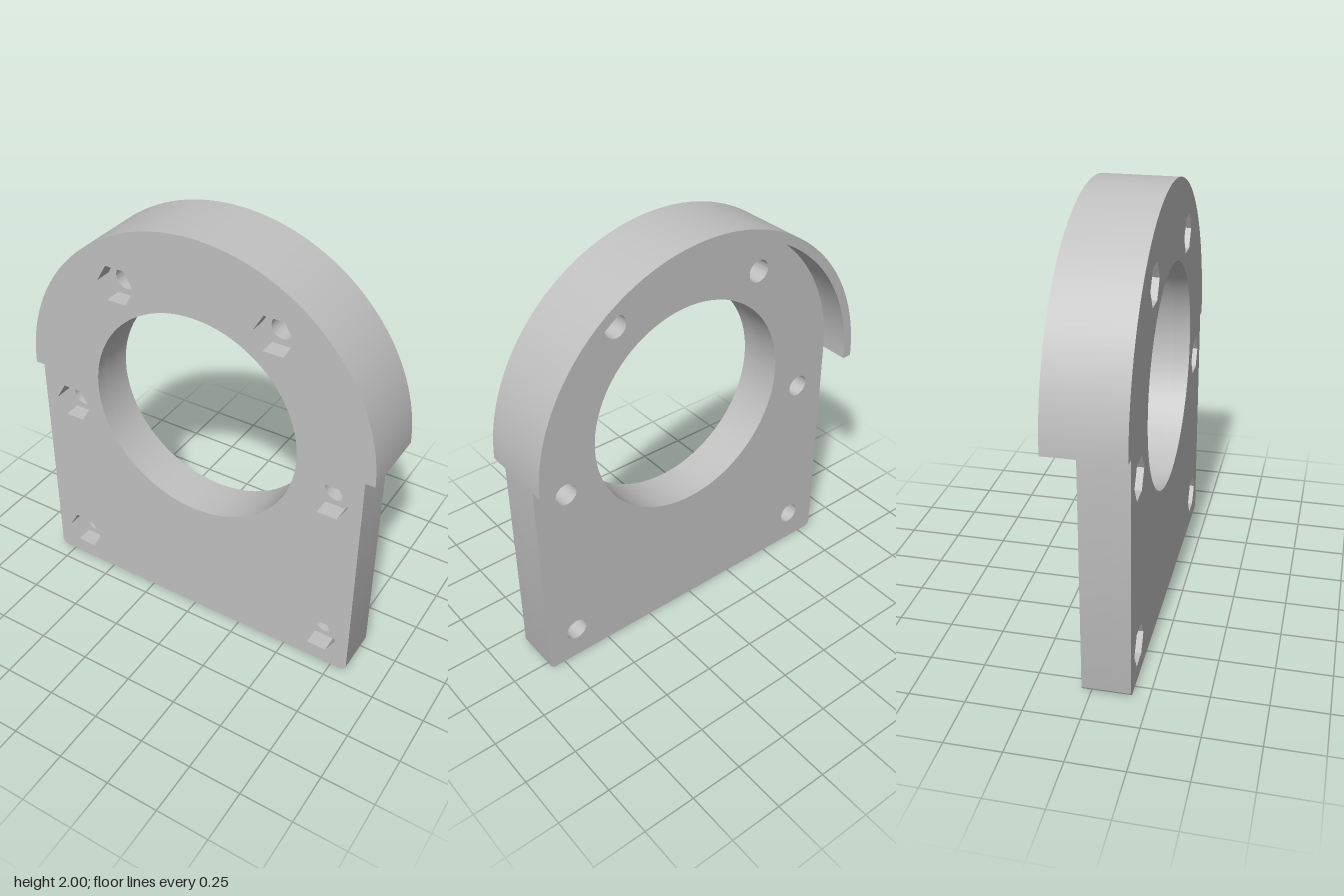
import * as THREE from 'three';
import { toCreasedNormals } from 'three/addons/utils/BufferGeometryUtils.js';

const CY = 1.127;          // height of the bore centre
const R_OUT = 0.873;       // hood outer radius
const R_IN = 0.828;        // plate half width and hood inner radius
const R_BORE = 0.513;
const Z_BACK = -0.04, Z_FLOOR = 0.095, Z_FRONT = 0.175;
const BOLTS = [[0.382, 1.677], [0.67, 0.965], [0.67, 0.16]];

function circleHole(x, y, r) {
  return new THREE.Path().absarc(x, y, r, 0, Math.PI * 2, true);
}

function hexHole(x, y, r) {
  const pts = [];
  for (let i = 0; i < 6; i++) {
    const a = -i * Math.PI / 3;
    pts.push(new THREE.Vector2(x + r * Math.cos(a), y + r * Math.sin(a)));
  }
  return new THREE.Path(pts);
}

// Arched plate outline with rounded lower corners, bore and six bolt openings
function plateShape(boltHole, r) {
  const c = 0.03;
  const s = new THREE.Shape();
  s.moveTo(-R_IN + c, 0);
  s.lineTo(R_IN - c, 0);
  s.absarc(R_IN - c, c, c, -Math.PI / 2, 0, false);
  s.lineTo(R_IN, CY);
  s.absarc(0, CY, R_IN, 0, Math.PI, false);
  s.lineTo(-R_IN, c);
  s.absarc(-R_IN + c, c, c, Math.PI, Math.PI * 1.5, false);
  s.holes.push(circleHole(0, CY, R_BORE));
  for (const [x, y] of BOLTS) {
    for (const side of [1, -1]) s.holes.push(boltHole(side * x, y, r));
  }
  return s;
}

// Half ring that overhangs the back of the plate
function hoodShape() {
  const s = new THREE.Shape();
  s.moveTo(R_OUT, CY);
  s.absarc(0, CY, R_OUT, 0, Math.PI, false);
  s.lineTo(-R_IN, CY);
  s.absarc(0, CY, R_IN, Math.PI, 0, true);
  s.closePath();
  return s;
}

export function createModel() {
  const group = new THREE.Group();
  group.name = 'bearingPlate';
  const grey = new THREE.MeshStandardMaterial({ color: 0xc0c0c0 });
  grey.name = 'grey';

  function addSlab(name, shape, z0, z1) {
    const geo = new THREE.ExtrudeGeometry(shape, { depth: z1 - z0, bevelEnabled: false, curveSegments: 40 });
    geo.translate(0, 0, z0);
    const mesh = new THREE.Mesh(toCreasedNormals(geo, 0.5), grey);
    mesh.name = name;
    group.add(mesh);
  }

  // Rear layer carries round bolt holes, front layer the hexagonal nut pockets
  addSlab('plateBack', plateShape(circleHole, 0.053), Z_BACK, Z_FLOOR);
  addSlab('plateFront', plateShape(hexHole, 0.094), Z_FLOOR, Z_FRONT);
  addSlab('hood', hoodShape(), -0.175, Z_FRONT);

  return group;
}
